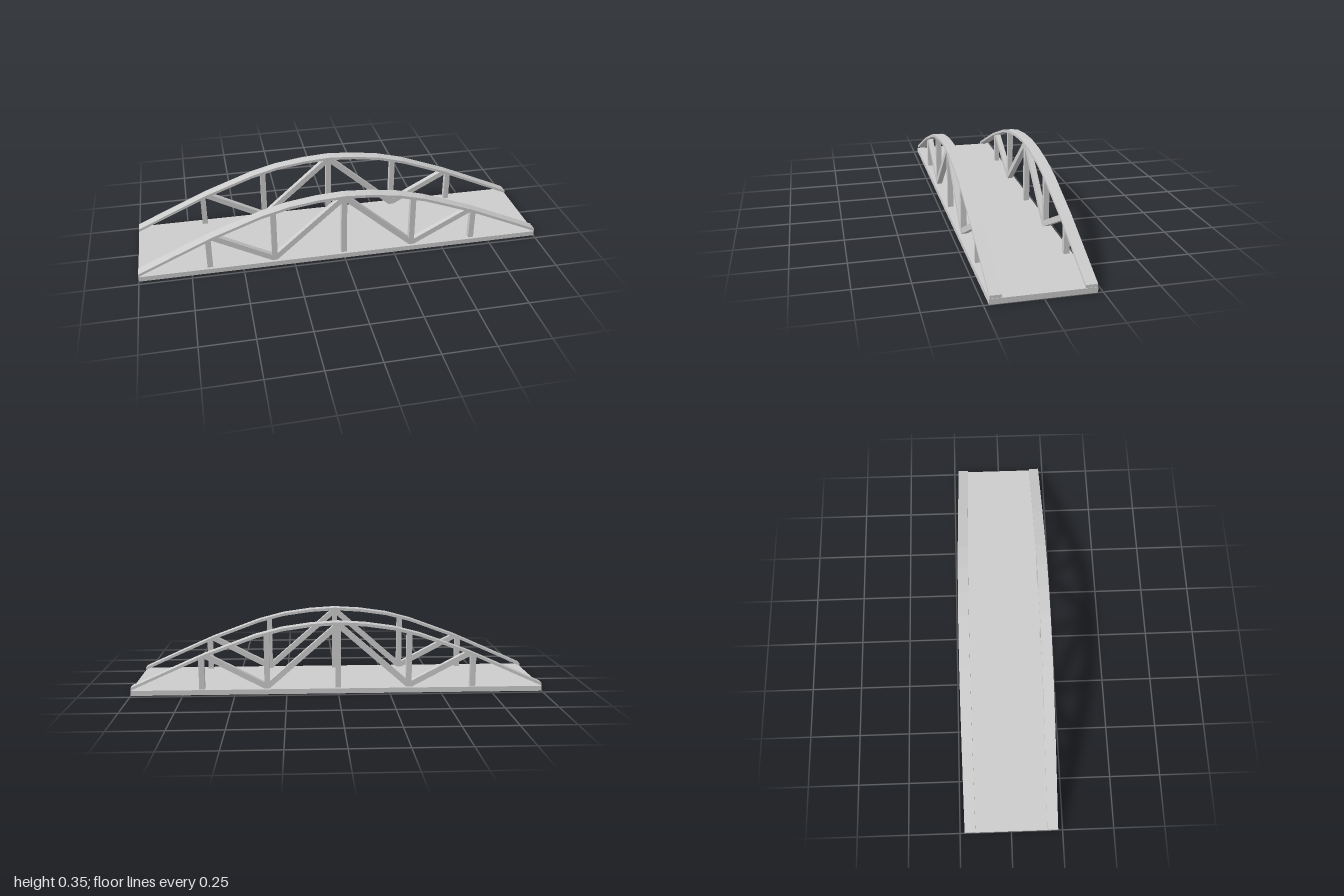
import * as THREE from 'three';

const DECK_TOP = 0.025;
const TRUSS_Z = 0.2;
const BAR = 0.027;

export function createModel() {
  const model = new THREE.Group();
  model.name = 'archBridge';
  const material = new THREE.MeshStandardMaterial({ color: 0xcccccc, flatShading: true });

  const add = (parent, name, geometry) => {
    const mesh = new THREE.Mesh(geometry, material);
    mesh.name = name;
    parent.add(mesh);
    return mesh;
  };

  // Square bar running between two points of the truss plane
  const bar = (parent, name, x0, y0, x1, y1) => {
    const mesh = add(parent, name, new THREE.BoxGeometry(BAR, Math.hypot(x1 - x0, y1 - y0), BAR));
    mesh.position.set((x0 + x1) / 2, (y0 + y1) / 2, 0);
    mesh.rotation.z = Math.atan2(x0 - x1, y1 - y0);
  };

  // Flat roadway
  const deck = add(model, 'deck', new THREE.BoxGeometry(2, DECK_TOP, 0.455));
  deck.position.y = DECK_TOP / 2;

  // Upper line of the arch, from one end to the crown
  const half = [[-1, 0.04], [-0.82, 0.121], [-0.64, 0.201], [-0.4, 0.29],
    [-0.27, 0.324], [-0.13, 0.344], [0, 0.352]];
  const top = [...half, ...half.slice(0, -1).reverse().map(([x, y]) => [-x, y])];
  const bottom = top.map(([x, y]) => [x, y - 0.014]).reverse();
  const archShape = new THREE.Shape([...top, ...bottom].map(([x, y]) => new THREE.Vector2(x, y)));

  for (const side of [1, -1]) {
    const truss = new THREE.Group();
    truss.name = side > 0 ? 'frontTruss' : 'backTruss';
    truss.position.z = side * TRUSS_Z;
    model.add(truss);

    // Broad, thin arch rib
    const arch = new THREE.ExtrudeGeometry(archShape, { depth: 0.052, bevelEnabled: false });
    arch.translate(0, 0, -0.026);
    add(truss, 'arch', arch);

    // Uprights and diagonals, mirrored about the centre post
    bar(truss, 'centrePost', 0, 0.02, 0, 0.344);
    for (const s of [1, -1]) {
      bar(truss, 'innerPost', s * 0.345, 0.02, s * 0.345, 0.297);
      bar(truss, 'outerPost', s * 0.66, 0.02, s * 0.66, 0.184);
      bar(truss, 'innerDiagonal', s * 0.345, 0.033, s * 0.005, 0.332);
      bar(truss, 'outerDiagonal', s * 0.345, 0.033, s * 0.64, 0.19);
    }
  }
  return model;
}
